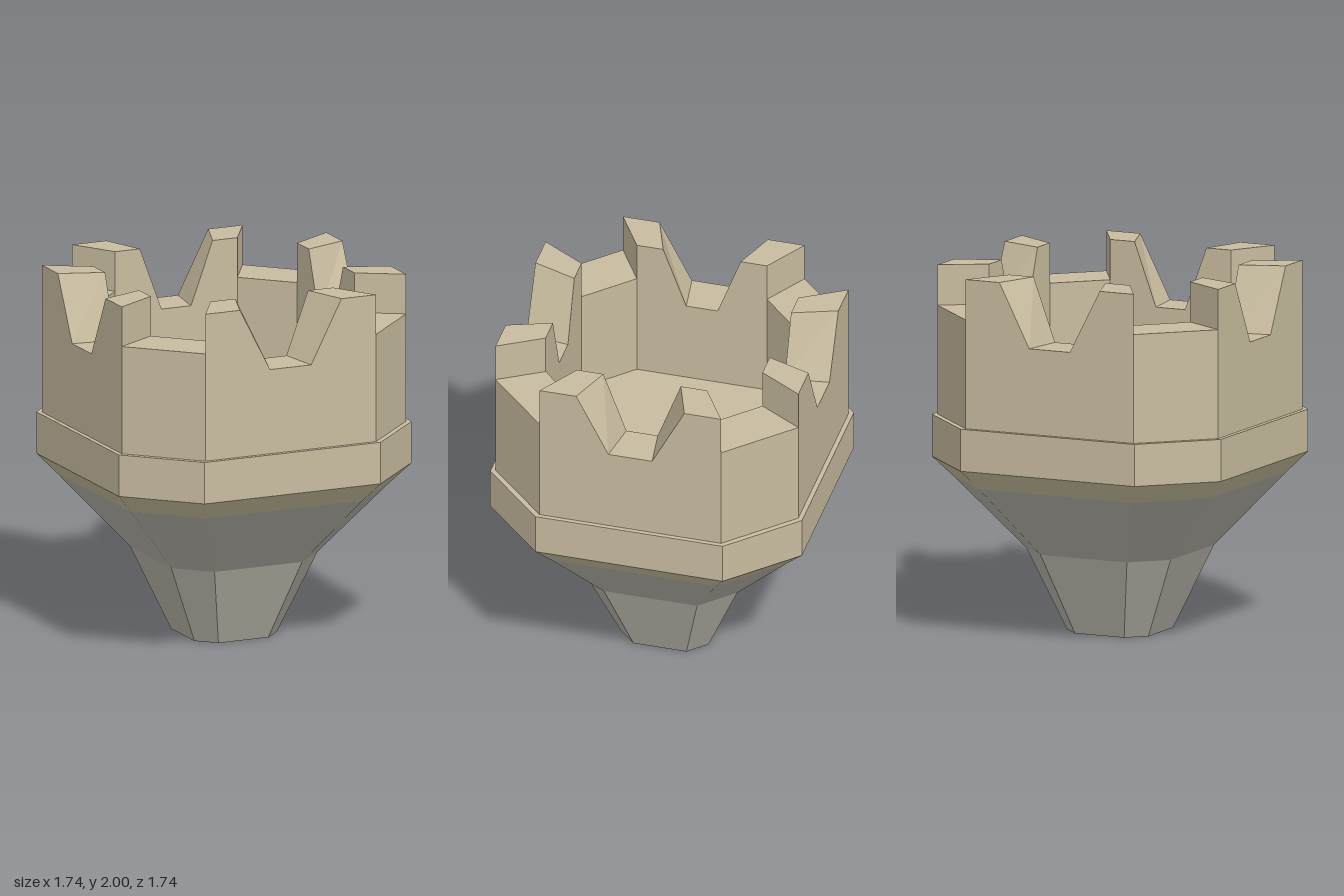
import * as THREE from 'three';

const stone = new THREE.MeshStandardMaterial({ color: 0xc8bc9f });
stone.name = 'sandstone';
const base = new THREE.MeshStandardMaterial({ color: 0xb7b3a8 });
base.name = 'greyStone';

const OUTER = 0.845, CORNER = 0.507, INNER = 0.605;

// Eight corners of a square with cut corners: w = half width, c = half length of a straight side
const octagon = (w, c, y) => [[c, w], [w, c], [w, -c], [c, -w], [-c, -w], [-w, -c], [-w, c], [-c, w]]
  .map(([x, z]) => [x, y, z]);

// Flat-faced skin through octagonal rings [w, c, y], listed from bottom to top
function loft(rings, capBottom, capTop) {
  const loops = rings.map((r) => octagon(...r));
  const pos = [];
  const tri = (...points) => points.forEach((p) => pos.push(...p));
  for (let k = 0; k < loops.length - 1; k++) {
    for (let i = 0; i < 8; i++) {
      const j = (i + 1) % 8, lo = loops[k], hi = loops[k + 1];
      tri(lo[i], lo[j], hi[j]);
      tri(lo[i], hi[j], hi[i]);
    }
  }
  const last = loops[loops.length - 1];
  for (let i = 1; i < 7; i++) {
    if (capBottom) tri(loops[0][0], loops[0][i + 1], loops[0][i]);
    if (capTop) tri(last[0], last[i], last[i + 1]);
  }
  const geo = new THREE.BufferGeometry();
  geo.setAttribute('position', new THREE.Float32BufferAttribute(pos, 3));
  geo.computeVertexNormals();
  return geo;
}

// Wall section: an outline pushed outwards and tapered towards the tower's axis
function wallSection(points, distance) {
  const shape = new THREE.Shape(points.map(([x, y]) => new THREE.Vector2(x, y)));
  const geo = new THREE.ExtrudeGeometry(shape, { depth: 1, bevelEnabled: false });
  const p = geo.attributes.position;
  for (let i = 0; i < p.count; i++) {
    const scale = THREE.MathUtils.lerp(INNER / OUTER, 1, p.getZ(i));
    p.setXYZ(i, p.getX(i) * scale, p.getY(i), distance * scale);
  }
  geo.computeVertexNormals();
  return geo;
}

export function createModel() {
  const model = new THREE.Group();
  model.name = 'turret';
  const add = (name, geo, material, turn = 0) => {
    const mesh = new THREE.Mesh(geo, material);
    mesh.name = name;
    mesh.rotation.y = turn;
    model.add(mesh);
  };

  // Tapering foot
  add('corbel', loft([[0.245, 0.148, 0], [0.435, 0.26, 0.45], [0.772, 0.46, 0.845]], true, false), base);

  // Flared collar; its top is both the outer ledge and the inner floor
  add('collar', loft([[0.772, 0.46, 0.845], [0.87, 0.523, 0.955], [0.87, 0.523, 1.185]], false, true), stone);

  // High notched walls on the straight sides, low walls across the corners
  const notched = wallSection([
    [-CORNER, 1.185], [CORNER, 1.185], [CORNER, 2], [0.302, 2],
    [0.122, 1.652], [-0.122, 1.652], [-0.302, 2], [-CORNER, 2],
  ], OUTER);
  const half = (OUTER - CORNER) / Math.SQRT2;
  const low = wallSection(
    [[-half, 1.185], [half, 1.185], [half, 1.78], [-half, 1.78]],
    (OUTER + CORNER) / Math.SQRT2,
  );
  for (let i = 0; i < 4; i++) {
    add('notchedWall', notched, stone, i * Math.PI / 2);
    add('cornerWall', low, stone, (i + 0.5) * Math.PI / 2);
  }
  return model;
}
